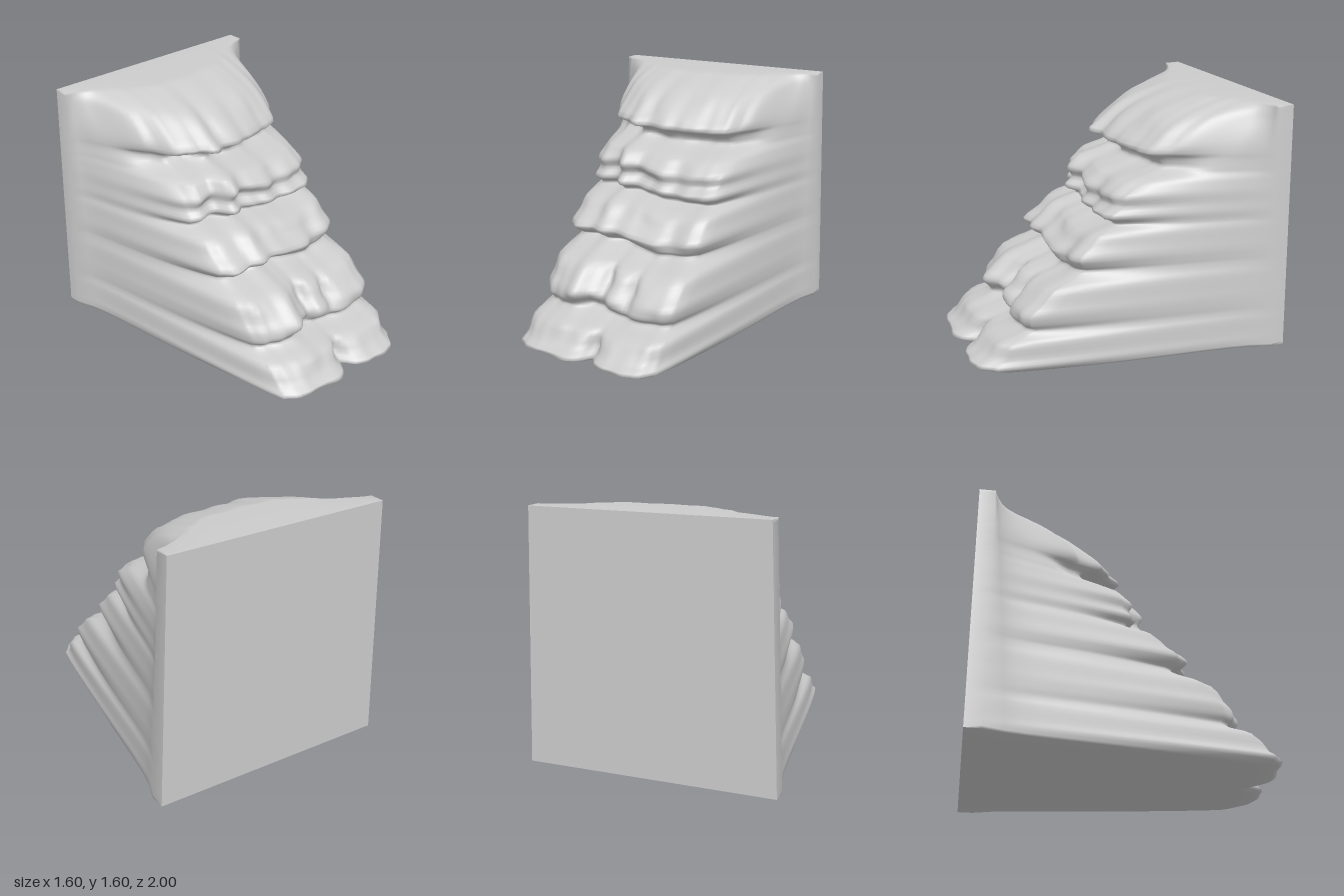
import * as THREE from 'three';

const { lerp, clamp, smoothstep } = THREE.MathUtils;

// Stepped centre profile, bottom to top: [y, z]
const PROFILE = [
  [0, 0.86], [0.05, 1], [0.1, 0.93], [0.19, 0.87], [0.23, 0.74], [0.26, 0.69], [0.3, 0.73],
  [0.36, 0.73], [0.42, 0.67], [0.51, 0.58], [0.56, 0.42], [0.6, 0.34], [0.63, 0.38], [0.68, 0.41],
  [0.75, 0.33], [0.82, 0.26], [0.86, 0.13], [0.88, 0.08], [0.93, 0.16], [0.99, 0.11], [1.05, 0.14],
  [1.1, 0.1], [1.14, 0.05], [1.18, -0.1], [1.21, -0.15], [1.26, -0.11], [1.3, -0.02],
  [1.38, -0.11], [1.49, -0.29], [1.55, -0.46], [1.6, -0.65],
];

// Height and reach of each ledge, with its setback across x = -0.5 ... 0.5 in steps of 0.1
const LEDGES = [
  { y: 0.05, z: 0.97, d: [0.11, 0.05, 0.04, 0.03, 0.02, 0.04, 0.04, 0.01, 0, 0.03, 0.12] },
  { y: 0.34, z: 0.71, d: [0.19, 0.09, 0.04, 0, 0.07, 0.06, 0.06, 0.05, 0.04, 0.04, 0.1] },
  { y: 0.68, z: 0.39, d: [0.13, 0.05, 0.06, 0.01, 0.06, 0.03, 0.04, 0.03, 0.07, 0.06, 0.1] },
  { y: 0.95, z: 0.15, d: [0.17, 0.12, 0.15, 0.03, 0.08, 0.06, 0.01, 0.05, 0.02, 0.02, 0.08] },
  { y: 1.3, z: -0.05, d: [0.33, 0.15, 0.1, 0.01, 0.07, 0.04, 0.08, 0.1, 0.13, 0.16, 0.28] },
  { y: 1.6, z: -0.65, d: [0.17, 0.08, 0.03, 0, 0, 0, 0, 0, 0.02, 0.08, 0.17] },
];

// Cracks and hollows: [x, y, width, height, depth]
const DENTS = [
  [0.04, 0.08, 0.04, 0.12, 0.09], [-0.03, 0.42, 0.04, 0.14, 0.08], [0.16, 0.42, 0.035, 0.12, 0.06],
  [-0.13, 0.29, 0.13, 0.035, 0.06], [-0.25, 0.61, 0.2, 0.03, 0.05], [0.25, 0.6, 0.16, 0.03, -0.03],
  [-0.32, 1.25, 0.16, 0.04, 0.07], [-0.14, 1.42, 0.04, 0.12, 0.03],
];

// Neighbouring ledges for a height, and how far between them it lies
function ledgesAt(y) {
  let i = 0;
  while (i < LEDGES.length - 2 && y > LEDGES[i + 1].y) i++;
  const a = LEDGES[i], b = LEDGES[i + 1];
  return [a, b, clamp((y - a.y) / (b.y - a.y), 0, 1)];
}

function across(d, x) {
  const t = clamp((x + 0.5) * 10, 0, 9.999), i = Math.floor(t);
  return lerp(d[i], d[i + 1], smoothstep(t - i, 0, 1));
}

function setback(x, y) {
  const [a, b, t] = ledgesAt(y);
  let s = lerp(across(a.d, x), across(b.d, x), t);
  for (const [cx, cy, w, h, depth] of DENTS) {
    s += depth * Math.exp(-(((x - cx) / w) ** 2) - ((y - cy) / h) ** 2);
  }
  return s + 0.012 * Math.sin(19 * x + 13 * y) * Math.sin(23 * y - 7 * x);
}

const halfWidth = (y) => 0.8 - 0.031 * y;

// Slight waviness that keeps the ledges from running dead level
const drift = (x, y) =>
  0.02 * Math.sin(6 * x) * Math.sin(Math.PI * y / 1.6) * Math.max(0, 1 - (x / 0.75) ** 2);

// One level outline, running from the back right corner round the front to the back left
function outline(y, z) {
  const w = halfWidth(y), sides = 14, front = 44;
  const [a, b, t] = ledgesAt(y);
  const smoothZ = lerp(a.z, b.z, t);
  const edge = 0.485 + clamp(0.25 * (z - smoothZ), -0.03, 0.02);
  const pts = [[-w, y, -1], [-w, y, -0.9]];
  // Flanks: ledges fade out toward the back, which flares at the corner
  const side = (sign, k) => {
    const s = k / sides;
    const reach = lerp(z, smoothZ, smoothstep(s, 0, 0.6)) - setback(sign * edge, y);
    const spread = 0.87 * s ** 0.85 + 0.13 * s ** 14;
    return [sign * lerp(edge, w, spread), y, lerp(reach, -0.9, s)];
  };
  for (let k = sides - 1; k > 0; k--) pts.push(side(-1, k));
  for (let i = 0; i <= front; i++) {
    const x = lerp(-edge, edge, i / front);
    pts.push([x, y, Math.max(-0.9, z - setback(x, y))]);
  }
  for (let k = 1; k < sides; k++) pts.push(side(1, k));
  pts.push([w, y, -0.9], [w, y, -1]);
  return pts.map(([px, py, pz]) => [px, py - drift(px, py), pz]);
}

// Skin a stack of rows with equal point counts
function loft(name, rows, material) {
  const n = rows[0].length, index = [];
  for (let j = 0; j < rows.length - 1; j++) {
    for (let i = 0; i < n - 1; i++) {
      const a = j * n + i, b = a + 1, c = b + n, d = a + n;
      index.push(a, b, c, a, c, d);
    }
  }
  const geometry = new THREE.BufferGeometry();
  geometry.setAttribute('position', new THREE.Float32BufferAttribute(rows.flat(2), 3));
  geometry.setIndex(index);
  geometry.computeVertexNormals();
  const mesh = new THREE.Mesh(geometry, material);
  mesh.name = name;
  return mesh;
}

export function createModel() {
  const group = new THREE.Group();
  group.name = 'rockCliff';
  const stone = new THREE.MeshStandardMaterial({ color: 0xcccccc, side: THREE.DoubleSide });

  // Underside, stepped face with flanks, and top, as one smooth skin
  const curve = new THREE.CatmullRomCurve3(
    PROFILE.map(([y, z]) => new THREE.Vector3(0, y, z)), false, 'centripetal');
  const rows = curve.getPoints((PROFILE.length - 1) * 3)
    .map((p) => outline(clamp(p.y, 0, 1.6), p.z));
  const toBack = (row) => row.map(([x, y]) => [x, y, -1]);
  const skin = [toBack(rows[0]), ...rows, toBack(rows[rows.length - 1])];
  group.add(loft('rockFace', skin, stone));

  // Flat back wall
  const backRow = (y) => [[halfWidth(y), y, -1], [-halfWidth(y), y, -1]];
  group.add(loft('backWall', [backRow(0), backRow(1.6)], stone));

  return group;
}
